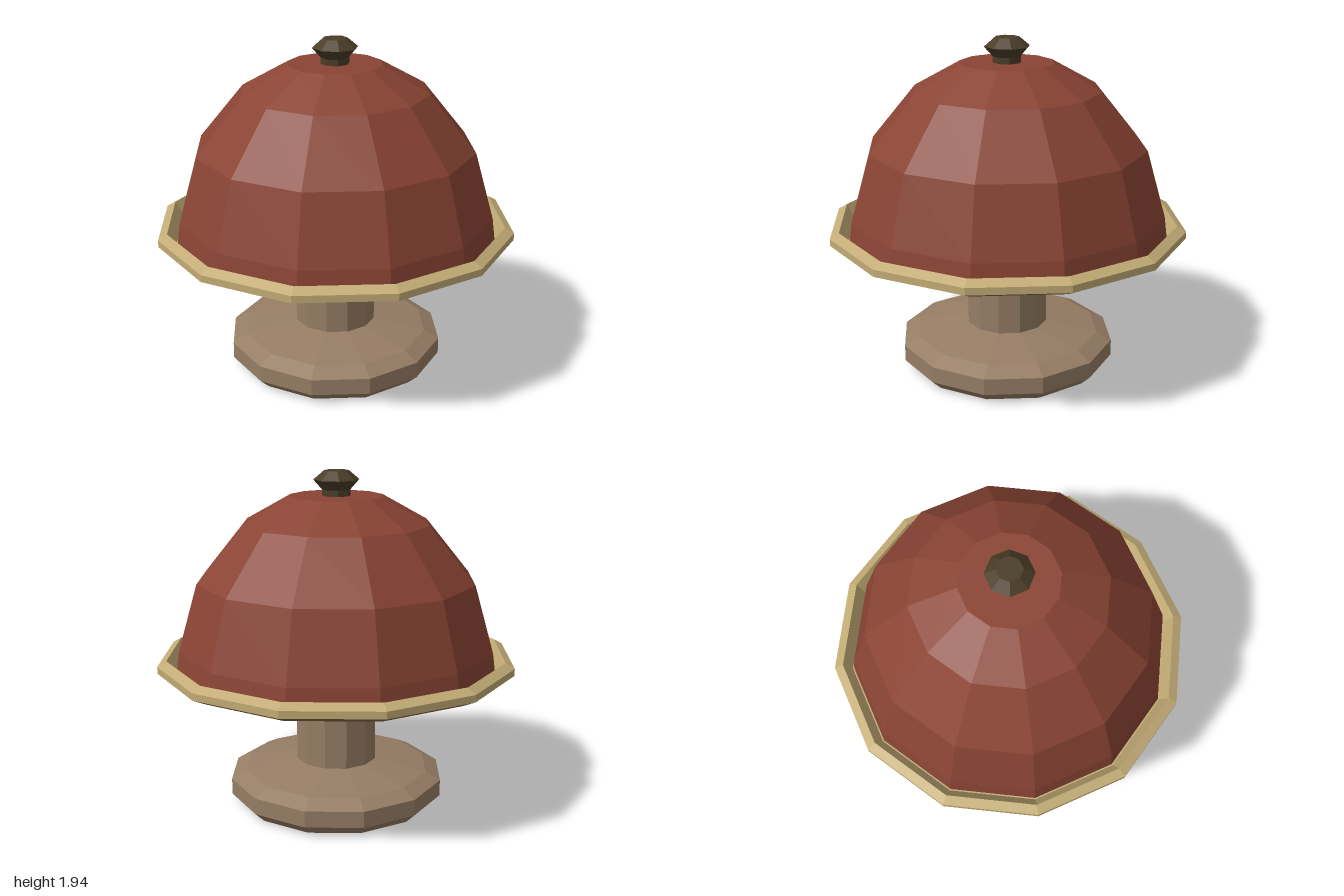
import * as THREE from 'three';

const mat = (name, color) => {
  const m = new THREE.MeshStandardMaterial({ color });
  m.name = name;
  return m;
};

// Faceted turned part; profile is [half width across flats, height], outside read bottom to top
function turned(name, material, profile, sides = 12) {
  const k = 1 / Math.cos(Math.PI / sides);
  const points = profile.map(([r, y]) => new THREE.Vector2(r * k, y));
  const lathe = new THREE.LatheGeometry(points, sides, Math.PI / sides);
  const geometry = lathe.toNonIndexed();
  geometry.computeVertexNormals(); // one normal per facet
  const mesh = new THREE.Mesh(geometry, material);
  mesh.name = name;
  return mesh;
}

export function createModel() {
  const wood = mat('taupe wood', 0x967d65);
  const brown = mat('brown underside', 0x88683f);
  const gold = mat('pale gold', 0xc2ab75);
  const red = mat('brick red', 0x8a4434);
  const dark = mat('dark bronze', 0x4a3d27);

  const group = new THREE.Group();
  group.name = 'coveredCakeStand';
  group.add(
    // Foot and stem
    turned('pedestal', wood, [
      [0, 0], [0.55, 0], [0.61, 0.06], [0.61, 0.155], [0.525, 0.2],
      [0.23, 0.25], [0.23, 0.6], [0.26, 0.66],
    ]),
    // Plate: shallow underside, then rim and sunken floor
    turned('plateUnderside', brown, [[0, 0.66], [0.26, 0.66], [0.92, 0.79], [1, 0.83]]),
    turned('plateRim', gold, [
      [1, 0.83], [1, 0.87], [0.95, 0.9], [0.905, 0.82], [0, 0.82],
    ]),
    // Cover
    turned('dome', red, [
      [0.897, 0.82], [0.88, 0.95], [0.773, 1.33], [0.518, 1.65], [0.26, 1.8], [0, 1.8],
    ]),
    turned('knob', dark, [
      [0.075, 1.8], [0.075, 1.835], [0.12, 1.89], [0.065, 1.94], [0, 1.94],
    ], 8),
  );
  return group;
}
